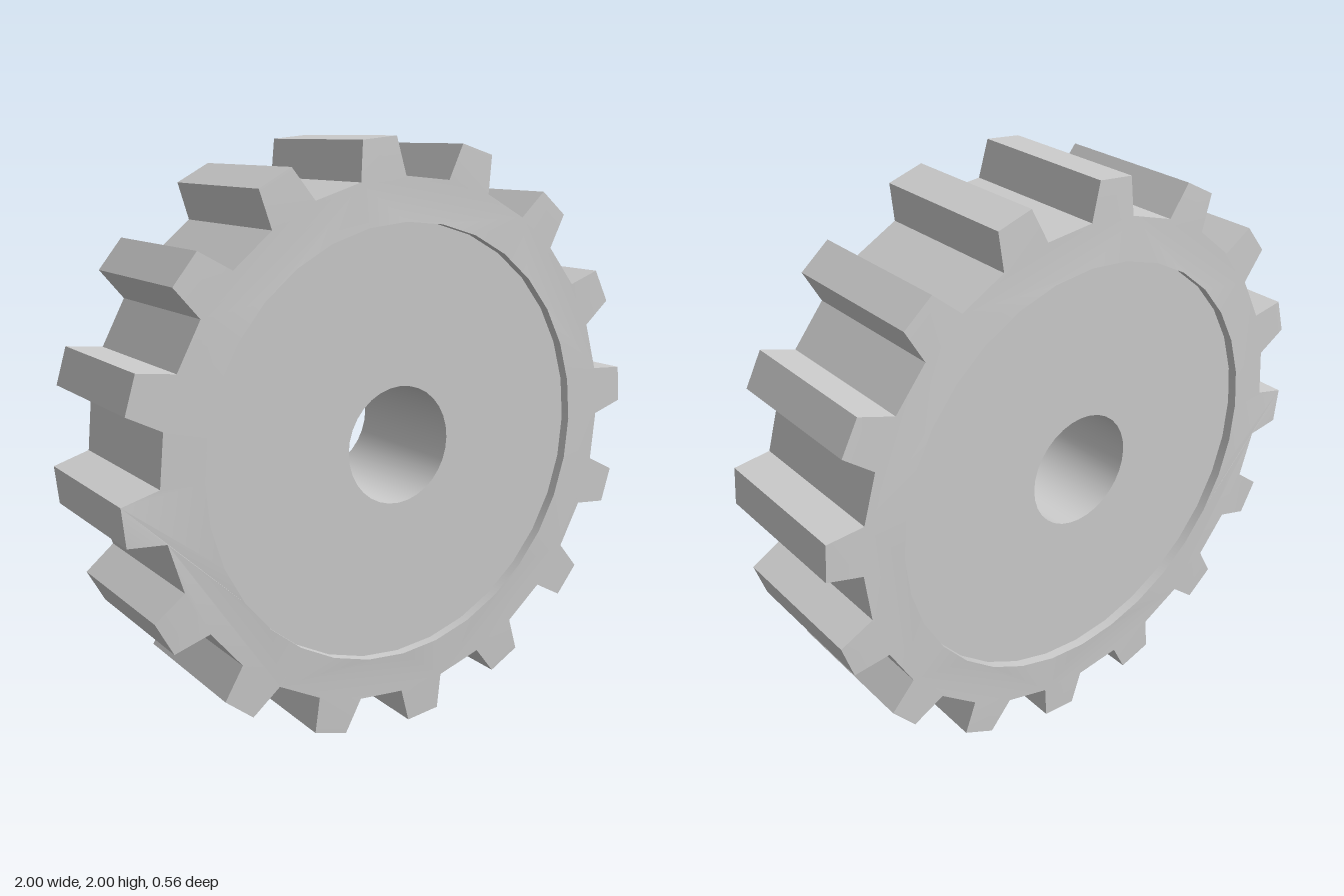
import * as THREE from 'three';
import { toCreasedNormals } from 'three/addons/utils/BufferGeometryUtils.js';

const TEETH = 16, TIP_R = 1.0, ROOT_R = 0.877, RIM_R = 0.735, BORE_R = 0.2;
const RIM_Z = 0.279, TIP_Z = 0.268, WEB_Z = 0.245;
const STEP = (Math.PI * 2) / TEETH;

const polar = (r, a) => new THREE.Vector2(r * Math.cos(a), r * Math.sin(a));

// Toothed rim: gear outline with a 32-sided opening, thinning slightly towards the tips
function toothedRim() {
  const outline = [];
  const tipHalf = THREE.MathUtils.degToRad(3.65);
  for (let i = 0; i < TEETH; i++) {
    const mid = (i + 0.25) * STEP;
    outline.push(
      polar(ROOT_R, mid - STEP / 4), polar(TIP_R, mid - tipHalf),
      polar(TIP_R, mid + tipHalf), polar(ROOT_R, mid + STEP / 4));
  }
  const opening = [];
  for (let i = 0; i < 2 * TEETH; i++) opening.push(polar(RIM_R, (-i * STEP) / 2));

  const shape = new THREE.Shape(outline);
  shape.holes.push(new THREE.Path(opening));
  const geo = new THREE.ExtrudeGeometry(shape, { depth: 2, bevelEnabled: false });
  geo.translate(0, 0, -1);

  const p = geo.attributes.position;
  for (let i = 0; i < p.count; i++) {
    const r = Math.hypot(p.getX(i), p.getY(i));
    const half = THREE.MathUtils.mapLinear(r, RIM_R, TIP_R, RIM_Z, TIP_Z);
    p.setZ(i, Math.sign(p.getZ(i)) * half);
  }
  return toCreasedNormals(geo, 0.6);
}

// Recessed web on both faces, joined by the axle bore
function webAndBore() {
  const profile = [[RIM_R, WEB_Z], [BORE_R, WEB_Z], [BORE_R, -WEB_Z], [RIM_R, -WEB_Z]]
    .map(([x, y]) => new THREE.Vector2(x, y));
  const geo = new THREE.LatheGeometry(profile, 2 * TEETH);
  geo.rotateX(Math.PI / 2);
  return toCreasedNormals(geo, 0.6);
}

export function createModel() {
  const group = new THREE.Group();
  group.name = 'gear';
  const material = new THREE.MeshStandardMaterial({ color: 0xcccccc });
  for (const [name, geo] of [['toothedRim', toothedRim()], ['webAndBore', webAndBore()]]) {
    const mesh = new THREE.Mesh(geo, material);
    mesh.name = name;
    mesh.position.y = 1;
    group.add(mesh);
  }
  return group;
}
